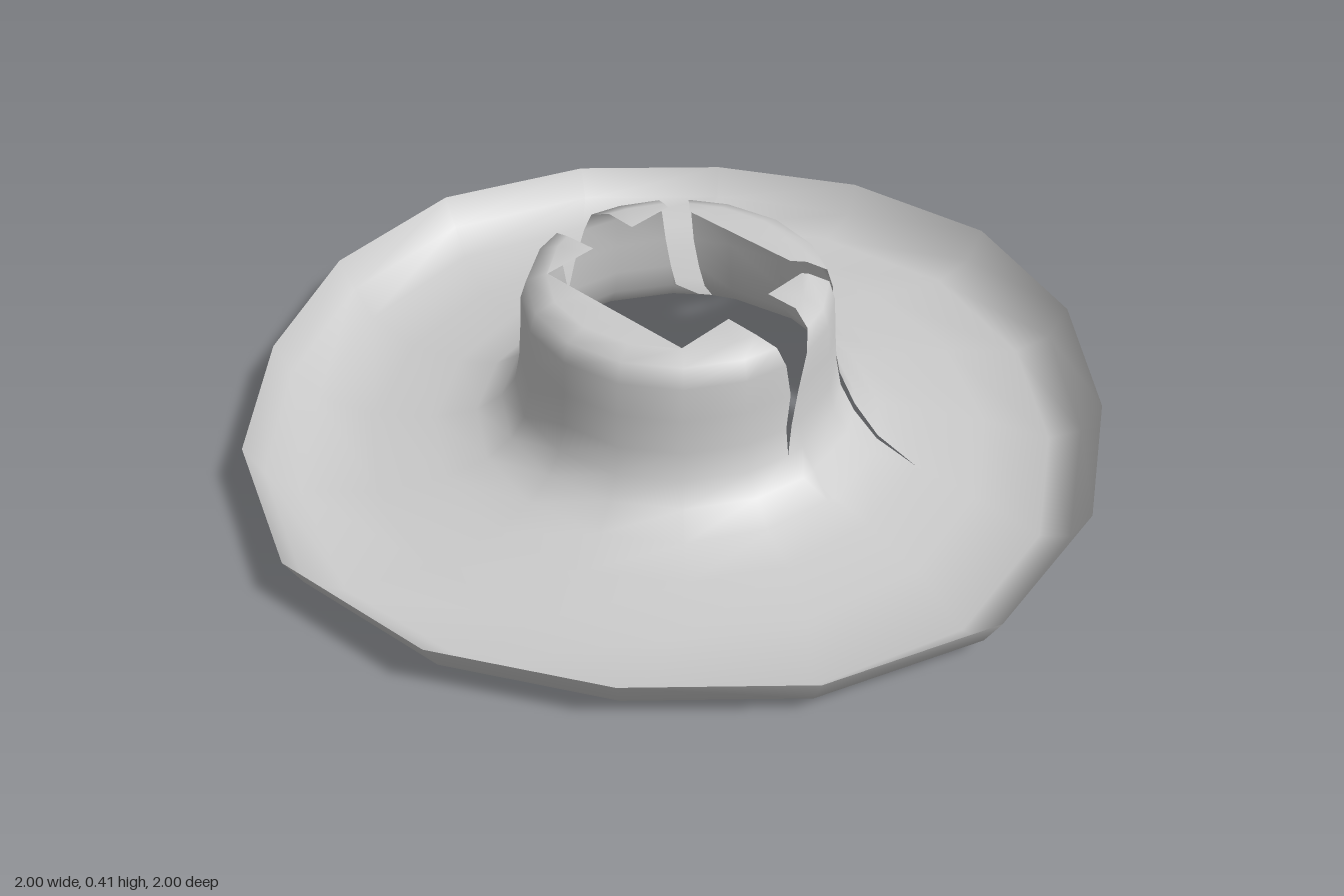
import * as THREE from 'three';
import { mergeVertices } from 'three/addons/utils/BufferGeometryUtils.js';

const STEP = 22.5; // sixteen sides
const TWIST = 8.5; // the rim is turned against the crown
const HOLE = 0.203; // half side of the square opening on top

// Profile from the upturned rim, over the brim and up the crown: [radius, height]
const PROFILE = [
  [0.987, 0.125], [0.95, 0.05], [0.88, 0], [0.72, 0.002], [0.57, 0.015],
  [0.47, 0.035], [0.41, 0.075], [0.375, 0.125], [0.362, 0.19], [0.355, 0.27],
  [0.35, 0.35], [0.335, 0.395], [0.29, 0.412], [HOLE, 0.412],
];

// Tears in the sheet: [profile row, start angle, end angle], 0 = +x, 90 = +z
const TEARS = {
  left: [[4, 0, 0], [7, 7, 7], [8, 4, 6.5], [9, 0, 4], [10, -5, 6], [11, -8.5, 8.5], [13, -19, 16]],
  right: [[8, 180, 180], [9, 177, 183], [10, 172.5, 187.5], [11, 170.5, 189.5], [13, 163, 197]],
  backRight: [[3, 247.5, 247.5], [4, 246.5, 246.5], [5, 240, 242], [6, 234, 239], [7, 226, 237],
    [9, 222, 233], [11, 219, 231], [13, 222, 233]],
  backLeft: [[3, 337.5, 337.5], [4, 336.5, 336.5], [5, 330, 331.5], [6, 322.5, 326], [7, 315, 322],
    [9, 312, 320], [11, 311, 319], [13, 307, 318]],
};

// Edge angle of a tear at a profile row (side 1 = start, 2 = end)
function edgeAngle(keys, row, side) {
  if (row <= keys[0][0]) return keys[0][side];
  const i = keys.findIndex((k) => k[0] >= row);
  const [a, b] = [keys[i - 1], keys[i]];
  return THREE.MathUtils.lerp(a[side], b[side], (row - a[0]) / (b[0] - a[0]));
}

function surfacePoint(row, degrees) {
  const rimWeight = [1, 1, 0.8, 0.3][row] ?? 0;
  const a = THREE.MathUtils.degToRad(degrees + TWIST * rimWeight);
  let [r, y] = PROFILE[row];
  r *= 1 + 0.024 * rimWeight * Math.cos(THREE.MathUtils.degToRad(4 * degrees));
  // the last row follows the square opening
  if (row === PROFILE.length - 1) r = HOLE / Math.max(Math.abs(Math.cos(a)), Math.abs(Math.sin(a)));
  return [r * Math.cos(a), y, r * Math.sin(a)];
}

// Adds the panel between the end of one tear and the start of the next
function addPanel(from, to, turn, positions, indices) {
  const rows = PROFILE.map((_, row) => [edgeAngle(from, row, 2), edgeAngle(to, row, 1) + turn]);
  const lowest = Math.min(...rows.map((r) => r[0]));
  const highest = Math.max(...rows.map((r) => r[1]));
  const columns = [lowest];
  for (let a = Math.ceil(lowest / STEP) * STEP; a <= highest; a += STEP) columns.push(a);
  columns.push(highest);

  const base = positions.length / 3;
  const n = columns.length;
  rows.forEach(([lo, hi], row) => {
    for (const c of columns) positions.push(...surfacePoint(row, THREE.MathUtils.clamp(c, lo, hi)));
  });
  for (let i = 0; i < rows.length - 1; i++) {
    for (let j = 0; j < n - 1; j++) {
      const o = base + i * n + j;
      indices.push(o, o + n, o + 1, o + 1, o + n, o + n + 1);
    }
  }
}

export function createModel() {
  const group = new THREE.Group();
  group.name = 'tornHat';

  const positions = [];
  const indices = [];
  const { left, right, backRight, backLeft } = TEARS;
  addPanel(left, right, 0, positions, indices);
  addPanel(right, backRight, 0, positions, indices);
  addPanel(backRight, backLeft, 0, positions, indices);
  addPanel(backLeft, left, 360, positions, indices);

  // Weld the panels where the tears are closed and drop collapsed triangles
  let geometry = new THREE.BufferGeometry();
  geometry.setAttribute('position', new THREE.Float32BufferAttribute(positions, 3));
  geometry.setIndex(indices);
  geometry = mergeVertices(geometry, 1e-4);
  const index = geometry.index.array;
  const kept = [];
  for (let i = 0; i < index.length; i += 3) {
    const [a, b, c] = [index[i], index[i + 1], index[i + 2]];
    if (a !== b && b !== c && c !== a) kept.push(a, b, c);
  }
  geometry.setIndex(kept);
  geometry.computeVertexNormals();

  const material = new THREE.MeshStandardMaterial({ color: 0xcccccc, side: THREE.DoubleSide });
  const shell = new THREE.Mesh(geometry, material);
  shell.name = 'brimAndCrown';
  group.add(shell);
  return group;
}
